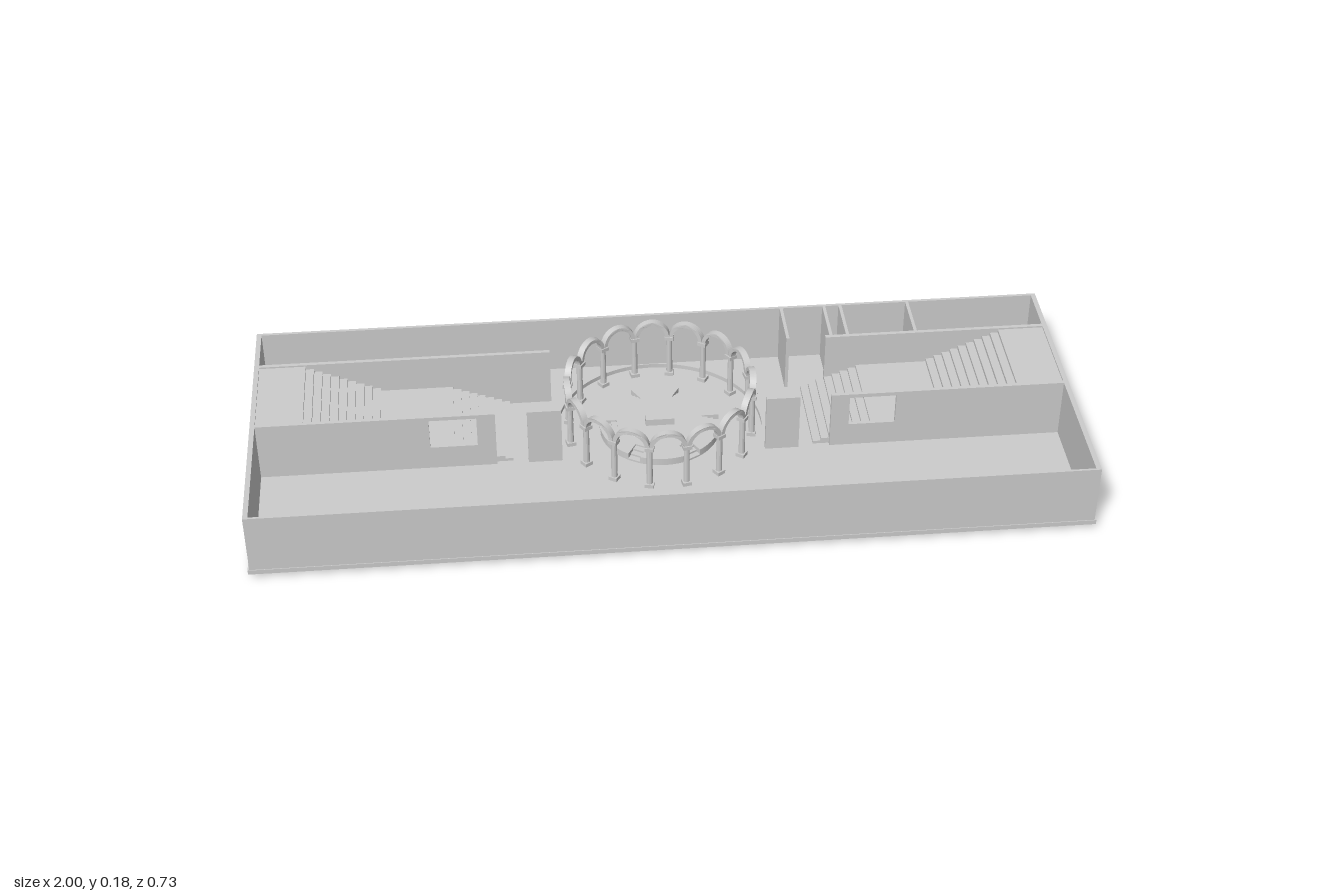
import * as THREE from 'three';

const material = new THREE.MeshStandardMaterial({ color: 0xcccccc, flatShading: true, side: THREE.DoubleSide });
const BASE = 0.012, FLOOR = 0.024, TOP = 0.177;
const CENTRE_Z = -0.1;
const WALL = 0.01;

export function createModel() {
  const model = new THREE.Group();

  const add = (name, geometry, parent = model) => {
    const mesh = new THREE.Mesh(geometry, material);
    mesh.name = name;
    parent.add(mesh);
    return mesh;
  };
  // Box given by its limits on each axis
  const box = (name, x0, x1, y0, y1, z0, z1, parent = model) => {
    const mesh = add(name, new THREE.BoxGeometry(x1 - x0, y1 - y0, z1 - z0), parent);
    mesh.position.set((x0 + x1) / 2, (y0 + y1) / 2, (z0 + z1) / 2);
    return mesh;
  };
  const circle = (r) => new THREE.Path().absarc(0, -CENTRE_Z, r, 0, Math.PI * 2, true);
  const flat = (shape, y0, y1) => new THREE.ExtrudeGeometry(shape, { depth: y1 - y0, bevelEnabled: false, curveSegments: 48 })
    .rotateX(-Math.PI / 2).translate(0, y0, 0);

  // Floor slab with a round opening for the rotunda
  const slab = new THREE.Shape();
  slab.moveTo(-1, -0.365).lineTo(1, -0.365).lineTo(1, 0.365).lineTo(-1, 0.365).closePath();
  slab.holes.push(circle(0.255));
  add('floorSlab', flat(slab, BASE, FLOOR));

  // Outer walls
  box('frontWall', -0.995, 0.995, BASE, TOP, 0.357, 0.363);
  box('backWall', -0.995, 0.995, BASE, TOP, -0.365, -0.357);
  for (const s of [-1, 1]) box('endWall', s * 0.99 - 0.006, s * 0.99 + 0.006, BASE, TOP, -0.363, 0.363);

  // Stair halls, mirrored at both ends
  for (const s of [-1, 1]) {
    const hall = new THREE.Group();
    hall.name = s < 0 ? 'rightStairHall' : 'leftStairHall';
    model.add(hall);
    const part = (name, x0, x1, y0, y1, z0, z1) =>
      box(name, Math.min(s * x0, s * x1), Math.max(s * x0, s * x1), y0, y1, z0, z1, hall);

    // Front partition with a high doorway and a full-height gap
    const z = 0.017;
    part('hallWall', 0.57, 0.99, BASE, TOP, z - WALL / 2, z + WALL / 2);
    part('hallWall', 0.41, 0.455, BASE, TOP, z - WALL / 2, z + WALL / 2);
    part('openingSill', 0.455, 0.57, BASE, 0.086, z - WALL / 2, z + WALL / 2);
    part('openingLintel', 0.455, 0.57, 0.167, TOP, z - WALL / 2, z + WALL / 2);
    part('wallPier', 0.25, 0.333, BASE, TOP, z - WALL / 2, z + WALL / 2);
    // Rear partition
    part('rearHallWall', s < 0 ? 0.265 : 0.43, 0.99, BASE, TOP, -0.23, -0.22);

    // Landings and two flights of steps falling towards the middle
    const z0 = -0.22, z1 = 0.012;
    part('upperLanding', 0.87, 0.985, 0.166, 0.173, z0, z1);
    part('middleLanding', 0.51, 0.69, 0.079, 0.086, z0, z1);
    const flight = (xTop, xEnd, yTop, yEnd, count) => {
      const dx = (xTop - xEnd) / count, dy = (yTop - yEnd) / (count + 1);
      for (let i = 0; i < count; i++) {
        const y = yTop - dy * (i + 1);
        part('step', xTop - dx * (i + 1), xTop - dx * i, Math.max(FLOOR, y - 0.018), y, z0, z1);
      }
    };
    flight(0.87, 0.69, 0.173, 0.086, 9);
    flight(0.51, 0.37, 0.086, FLOOR, 7);
  }

  // Small rooms behind the left hall
  for (const x of [0.335, 0.445, 0.487, 0.66]) box('roomPartition', x - 0.004, x + 0.004, BASE, TOP, -0.36, -0.225);

  // Rotunda
  const rotunda = new THREE.Group();
  rotunda.name = 'rotunda';
  rotunda.position.z = CENTRE_Z;
  model.add(rotunda);

  // Sunken ring floor with an open middle underneath
  const lathe = (points) => new THREE.LatheGeometry(points.map(([r, y]) => new THREE.Vector2(r, y)), 64);
  add('sunkenRing', lathe([[0.15, 0], [0.26, 0], [0.26, 0.013], [0.15, 0.013], [0.15, 0]]), rotunda);

  // Central dais, notched for six small stairs
  const dais = new THREE.Shape();
  const half = 0.016, R = 0.15, inner = 0.107;
  const a = Math.asin(half / R);
  for (let i = 0; i < 6; i++) {
    const t = (i * Math.PI) / 3;
    const at = (u, v) => [u * Math.cos(t) - v * Math.sin(t), u * Math.sin(t) + v * Math.cos(t)];
    if (i === 0) dais.moveTo(...at(inner, -half));
    else dais.lineTo(...at(inner, -half));
    dais.lineTo(...at(inner, half));
    dais.lineTo(...at(R * Math.cos(a), half));
    dais.absarc(0, 0, R, t + a, t + Math.PI / 3 - a, false);
  }
  dais.closePath();
  add('dais', flat(dais, 0.013, 0.032), rotunda);
  for (let i = 0; i < 6; i++) {
    const stair = new THREE.Group();
    stair.name = 'daisStair';
    stair.rotation.y = (i * Math.PI) / 3;
    rotunda.add(stair);
    for (let k = 0; k < 3; k++) {
      const r = inner + 0.0143 * k;
      box('daisStep', r, r + 0.0143, 0.011, 0.028 - 0.005 * k, -half, half, stair);
    }
  }
  box('pedestal', -0.036, 0.036, 0.032, 0.05, -0.014, 0.014, rotunda);

  // Ring of sixteen columns joined by curved arches
  const BAYS = 16, RING = 0.23, SPRING = 0.132;
  const bay = (Math.PI * 2) / BAYS;
  const outer = (RING * bay) / 2;
  const arch = new THREE.Shape();
  arch.absarc(0, 0, outer, 0, Math.PI, false);
  arch.lineTo(-outer + 0.01, 0);
  arch.absarc(0, 0, outer - 0.01, Math.PI, 0, true);
  arch.closePath();
  const archGeometry = new THREE.ExtrudeGeometry(arch, { depth: 0.016, bevelEnabled: false, curveSegments: 16 });
  const p = archGeometry.attributes.position;
  for (let i = 0; i < p.count; i++) {
    // Bend the flat arch around the ring
    const angle = p.getX(i) / RING, r = RING - 0.008 + p.getZ(i);
    p.setXYZ(i, r * Math.sin(angle), p.getY(i) + SPRING, r * Math.cos(angle));
  }
  archGeometry.computeVertexNormals();
  const shaft = new THREE.CylinderGeometry(0.007, 0.008, SPRING - 0.013, 12);
  for (let i = 0; i < BAYS; i++) {
    add('arch', archGeometry, rotunda).rotation.y = i * bay;
    const column = new THREE.Group();
    column.name = 'column';
    column.rotation.y = (i + 0.5) * bay;
    rotunda.add(column);
    add('columnShaft', shaft, column).position.set(0, (SPRING + 0.013) / 2, RING);
    box('columnBase', -0.011, 0.011, 0.013, 0.023, RING - 0.011, RING + 0.011, column);
    box('columnCapital', -0.011, 0.011, SPRING - 0.008, SPRING + 0.002, RING - 0.011, RING + 0.011, column);
  }
  return model;
}
